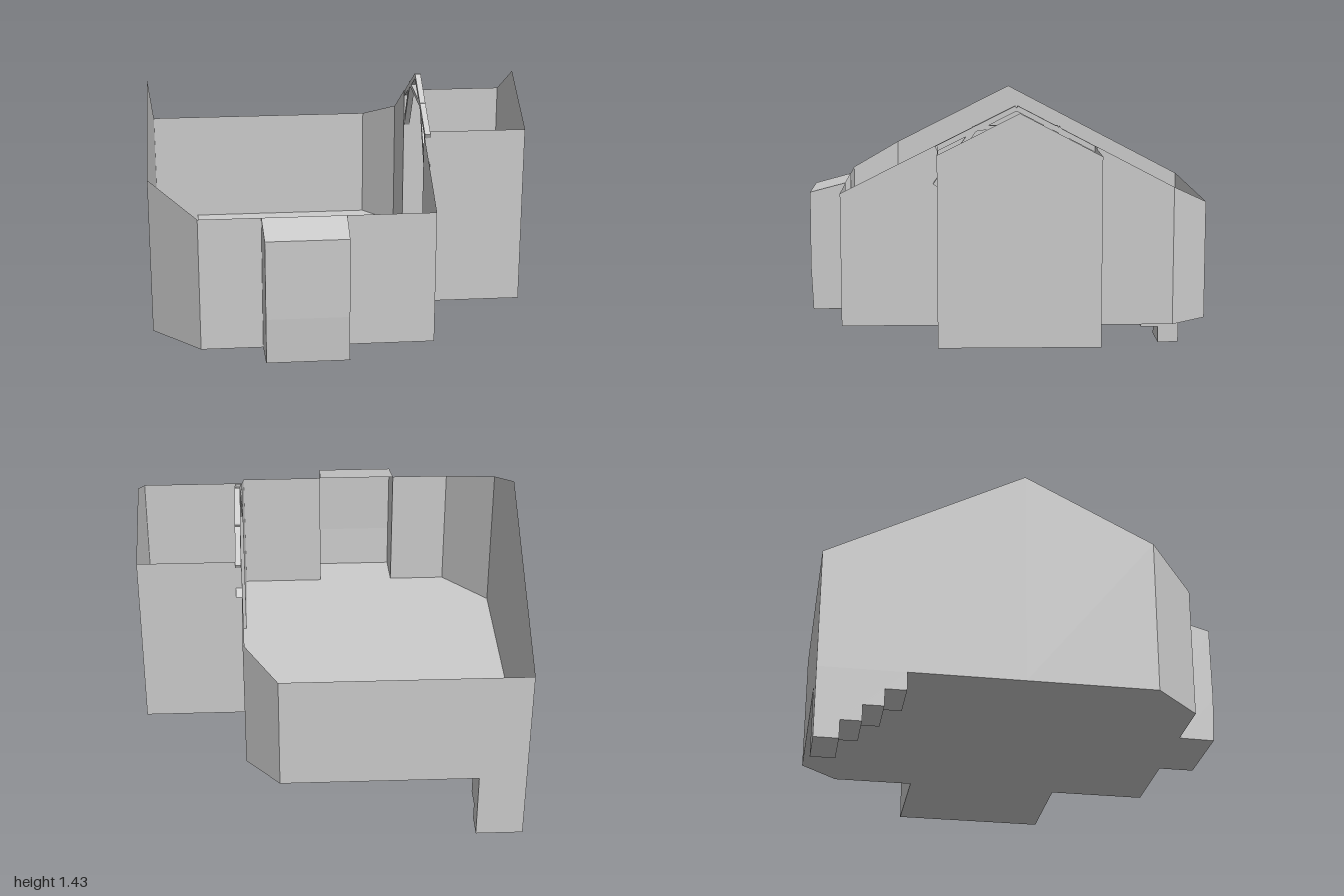
import * as THREE from 'three';

const FLOOR = 0.345, RIDGE_Z = -0.045, RIDGE_Y = 1.435;

// Height of the wall tops, following the pitch of the missing roof
const roofY = (z) => RIDGE_Y - (z > RIDGE_Z ? 0.502 : 0.523) * Math.abs(z - RIDGE_Z);

export function createModel() {
  const model = new THREE.Group();
  const material = new THREE.MeshStandardMaterial({ color: 0xcccccc, side: THREE.DoubleSide, flatShading: true });

  const add = (name, geometry) => {
    const mesh = new THREE.Mesh(geometry, material);
    mesh.name = name;
    model.add(mesh);
    return mesh;
  };

  // Thin panels from quads whose corners run counter-clockwise
  const panels = (name, quads) => {
    const pos = [];
    for (const [a, b, c, d] of quads) pos.push(...a, ...b, ...c, ...a, ...c, ...d);
    const geometry = new THREE.BufferGeometry();
    geometry.setAttribute('position', new THREE.Float32BufferAttribute(pos, 3));
    geometry.computeVertexNormals();
    return add(name, geometry);
  };

  const shapeOf = (points) => new THREE.Shape(points.map(([a, b]) => new THREE.Vector2(a, b)));

  // Outer walls, running round the plan from one side of the bay to the other
  const plan = [
    [0, 0.815], [0.42, 0.815], [0.42, 0.335], [0.92, 0.335], [0.92, RIDGE_Z], [0.92, -0.425],
    [0.42, -0.425], [0.42, -0.82], [0.26, -1], [-0.925, -1], [-0.925, RIDGE_Z],
    [-0.925, 0.58], [-0.695, 0.815], [-0.4, 0.815],
  ];
  panels('outerWalls', plan.slice(1).map(([x1, z1], i) => {
    const [x0, z0] = plan[i];
    return [[x0, FLOOR, z0], [x1, FLOOR, z1], [x1, roofY(z1), z1], [x0, roofY(z0), z0]];
  }));

  // Floor, including the bay and the side wing, notched for the stairwell
  const floorPlan = plan.flatMap((p) => (p[0] === -0.925 && p[1] === -1
    ? [[-0.695, -1], [-0.695, -0.59], [-0.925, -0.59]] : [p]));
  floorPlan.push([-0.395, 0.99], [0, 0.99]);
  const floor = new THREE.ShapeGeometry(shapeOf(floorPlan)).rotateX(Math.PI / 2).translate(0, FLOOR, 0);
  add('floor', floor);

  // Bay window box: slightly bulging front, side walls and sloping lid
  const rows = [[FLOOR, 0.99], [0.57, 1], [0.955, 0.998]];
  const bay = [];
  for (let i = 0; i < 2; i++) {
    const [y0, z0] = rows[i];
    const top = i === 1;
    const [y1, z1] = rows[i + 1];
    const inner = top ? roofY(0.815) : y1;
    bay.push(
      [[-0.393, y0, z0], [-0.003, y0, z0], [-0.003, y1, z1], [-0.393, y1, z1]],
      [[-0.003, y0, z0], [0, y0, 0.815], [0, inner, 0.815], [-0.003, y1, z1]],
      [[-0.4, y0, 0.815], [-0.393, y0, z0], [-0.393, y1, z1], [-0.4, inner, 0.815]],
    );
    if (top) bay.push([[-0.393, y1, z1], [-0.003, y1, z1], [0, inner, 0.815], [-0.4, inner, 0.815]]);
  }
  panels('bay', bay);

  // Stairs descending to the back corner
  const xa = -0.925, xb = -0.695;
  const stepZ = [-0.59, -0.69, -0.787, -0.885, -1];
  const stepY = [0.255, 0.17, 0.09, 0];
  const profile = [[-0.59, FLOOR]];
  stepY.forEach((y, i) => profile.push([stepZ[i], y], [stepZ[i + 1], y]));
  profile.push([-1, FLOOR]);
  panels('stairs', profile.slice(1).map(([z1, y1], i) => {
    const [z0, y0] = profile[i];
    return [[xa, y0, z0], [xa, y1, z1], [xb, y1, z1], [xb, y0, z0]];
  }));
  for (const [name, x] of [['stairwellOuterSide', xa], ['stairwellInnerSide', xb]]) {
    const side = new THREE.ShapeGeometry(shapeOf(profile.map(([z, y]) => [-z, y])));
    add(name, side.rotateY(Math.PI / 2).translate(x, 0, 0));
  }

  // Open truss where the side wing meets the main room
  const beam = (name, z0, y0, z1, y1, thick) => {
    const geometry = new THREE.BoxGeometry(0.028, thick, Math.hypot(z1 - z0, y1 - y0));
    const mesh = add(name, geometry);
    mesh.position.set(0.437, (y0 + y1) / 2, (z0 + z1) / 2);
    mesh.rotation.x = -Math.atan2(y1 - y0, z1 - z0);
  };
  for (const s of [1, -1]) {
    const at = (d) => RIDGE_Z + s * d;
    beam('rafter', at(0), RIDGE_Y - 0.015, at(0.39), roofY(at(0.39)) - 0.015, 0.026);
    beam('brace', at(0.2), 1.325, at(0.395), 1.045, 0.026);
  }
  beam('collarTie', RIDGE_Z - 0.2, 1.325, RIDGE_Z + 0.2, 1.325, 0.022);

  return model;
}
